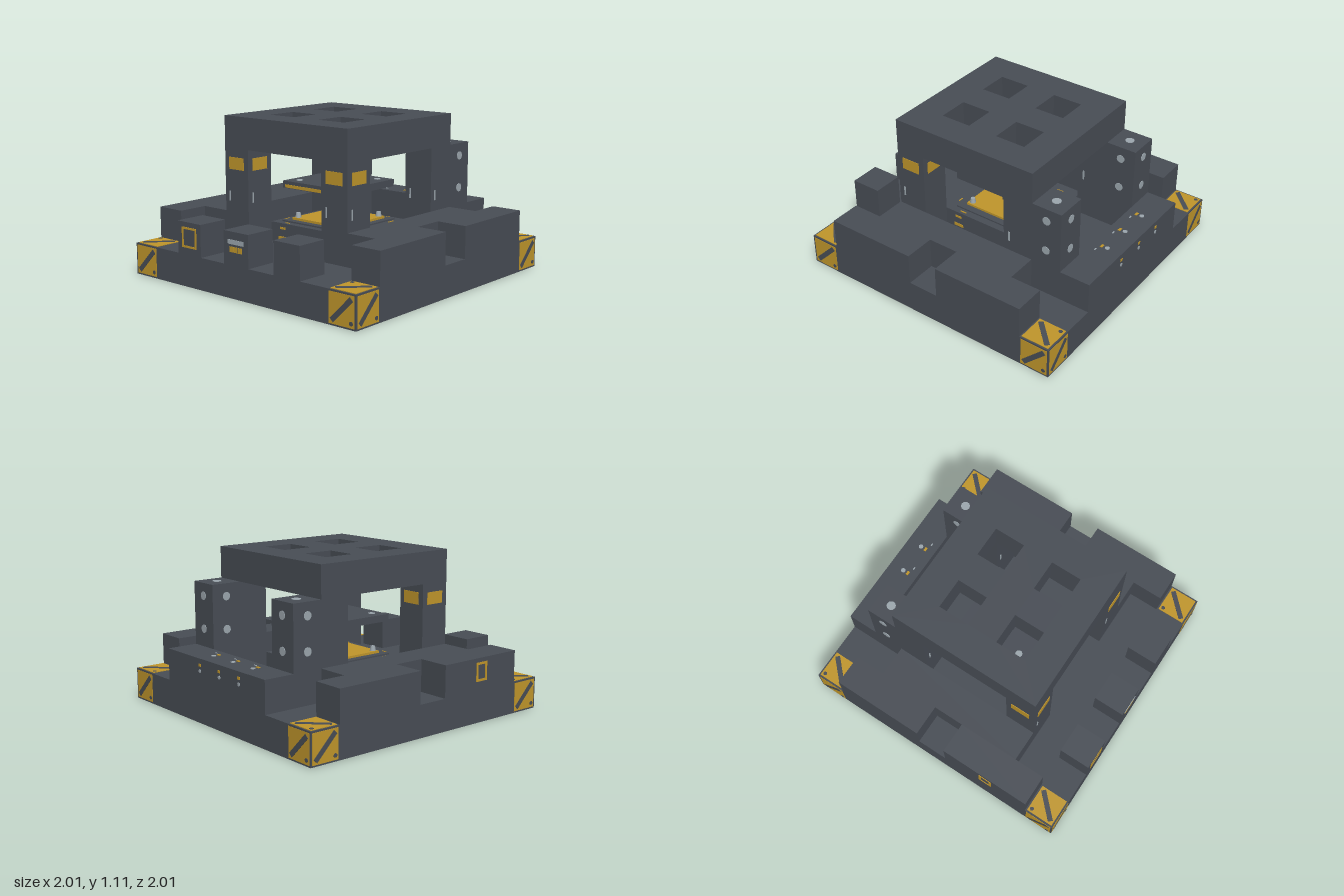
import * as THREE from 'three';

const dark = new THREE.MeshStandardMaterial({ color: 0x484d55 });
dark.name = 'dark steel';
const yellow = new THREE.MeshStandardMaterial({ color: 0xc0962b });
yellow.name = 'safety yellow';
const grey = new THREE.MeshStandardMaterial({ color: 0x9ca7ae });
grey.name = 'pale metal';

const U = 1 / 9; // layout module
const T = 0.004; // thickness of painted plates

export function createModel() {
  const model = new THREE.Group();
  model.name = 'machineBlock';

  const add = (name, geometry, material, parent = model) => {
    const mesh = new THREE.Mesh(geometry, material);
    mesh.name = name;
    parent.add(mesh);
    return mesh;
  };
  // Box given by its extents
  const box = (name, x0, x1, y0, y1, z0, z1, material = dark) => {
    const m = add(name, new THREE.BoxGeometry(x1 - x0, y1 - y0, z1 - z0), material);
    m.position.set((x0 + x1) / 2, (y0 + y1) / 2, (z0 + z1) / 2);
    return m;
  };

  // One group per facing direction; inside it, x is right, y is up, z is outward
  const face = (name, rx, ry) => {
    const g = new THREE.Group();
    g.name = name;
    g.rotation.set(rx, ry, 0);
    model.add(g);
    return g;
  };
  const front = face('frontMarkings', 0, 0);
  const plusX = face('leftMarkings', 0, Math.PI / 2);
  const back = face('backMarkings', 0, Math.PI);
  const minusX = face('rightMarkings', 0, -Math.PI / 2);
  const top = face('topMarkings', -Math.PI / 2, 0);
  const bottom = face('bottomMarkings', Math.PI / 2, 0);
  const sides = [front, plusX, back, minusX];

  const plate = (name, f, u, v, d, w, h, material, angle = 0, t = T) => {
    const m = add(name, new THREE.BoxGeometry(w, h, t), material, f);
    m.position.set(u, v, d + t / 2);
    m.rotation.z = angle;
    return m;
  };
  const disc = (name, f, u, v, d, r, material) => {
    const m = add(name, new THREE.CylinderGeometry(r, r, T, 10), material, f);
    m.rotation.x = Math.PI / 2;
    m.position.set(u, v, d + T / 2);
  };
  const ring = (name, f, u, v, d, w, h, b) => {
    for (const s of [-1, 1]) {
      plate(name, f, u + s * (w - b) / 2, v, d, b, h, yellow);
      plate(name, f, u, v + s * (h - b) / 2, d, w - 2 * b, b, yellow);
    }
  };

  // Base slab
  box('base', -1, 1, 0, 2 * U, -1, 1);

  // Hazard panels on the base corners
  const hazard = (f, u, v, d) => {
    plate('hazardPanel', f, u, v, d, 0.2, 0.2, yellow);
    plate('hazardStripe', f, u, v, d + T, 0.22, 0.035, dark, Math.PI / 4, 0.002);
  };
  for (const s of [-1, 1]) {
    for (const f of sides) {
      hazard(f, s * 8 * U, U, 1 - T / 2);
      disc('hazardDot', f, s * 8 * U + 0.075, 0.04, 1 + T / 4, 0.014, dark);
    }
    for (const t of [-1, 1]) {
      hazard(top, s * 8 * U, t * 8 * U, 2 * U);
      disc('hazardDot', top, s * 8 * U - 0.075, t * 8 * U + 0.075, 2 * U + 0.003, 0.014, dark);
      hazard(bottom, s * 8 * U, t * 8 * U, -T);
    }
  }

  // Stepped side blocks with a notch in the outer edge
  for (const s of [-1, 1]) {
    const sideBox = (name, a, b, z0, z1) =>
      box(name, Math.min(s * a, s * b), Math.max(s * a, s * b), 2 * U, 4 * U, z0, z1);
    sideBox('sideBlockInner', 5 * U, 7 * U, -5 * U, 5 * U);
    sideBox('sideBlockFront', 7 * U, 1, U, 7 * U);
    sideBox('sideBlockBack', 7 * U, 1, -7 * U, -U);
  }
  ring('sidePanelFrame', minusX, 0.45, 0.35, 1, 0.1, 0.13, 0.016);

  // Front control blocks
  for (const i of [-4, 0, 4]) {
    box('frontBlock', (i - 1) * U, (i + 1) * U, 2 * U, 4 * U, 7 * U, 1);
  }
  ring('frontPanelFrame', front, -4 * U, 0.34, 1, 0.14, 0.14, 0.014);
  plate('displayBar', front, 0, 0.377, 1, 0.14, 0.03, grey);
  for (const u of [-0.04, 0, 0.04]) plate('button', front, u, 0.328, 1, 0.033, 0.036, yellow);

  // Back wall with fasteners
  box('backWall', -5 * U, 5 * U, 2 * U, 4 * U, -1, -7 * U);
  for (const x of [-0.28, -0.06, 0.165]) {
    disc('wallBolt', top, x, 0.89, 4 * U, 0.017, grey);
    plate('wallTab', top, x, 0.85, 4 * U, 0.03, 0.018, yellow);
    plate('wallDash', top, x + 0.055, 0.832, 4 * U, 0.022, 0.008, grey);
    disc('wallBolt', back, -x, 0.36, 1, 0.013, grey);
    plate('wallTab', back, -x, 0.4, 1, 0.024, 0.018, yellow);
  }

  // Tower pillars and rear buttresses
  for (const sx of [-1, 1]) {
    const cx = sx * 4 * U;
    for (const sz of [-1, 1]) {
      const cz = sz * 4 * U;
      box('pillar', cx - U, cx + U, 2 * U, 8 * U, cz - U, cz + U);
      // centre of the pillar in the frame of each side: [across, outward]
      const local = [[cx, cz], [-cz, cx], [-cx, -cz], [cz, -cx]];
      sides.forEach((f, i) => {
        const [u, d] = local[i];
        if (sz > 0) plate('pillarSign', f, u, 0.785, d + U, 0.14, 0.085, yellow);
        if (i < 2) plate('pillarStrip', f, u - 0.067, 0.555, d + U, 0.012, 0.07, grey);
      });
    }
    const bz = -6 * U;
    box('buttress', cx - U, cx + U, 2 * U, 8 * U, bz - U, bz + U);
    disc('buttressBolt', top, cx, -bz, 8 * U, 0.032, grey);
    for (const y of [0.57, 0.8]) {
      disc('buttressBolt', back, -cx, y, -bz + U, 0.03, grey);
      disc('buttressBolt', plusX, -bz, y, cx + U, 0.03, grey);
      disc('buttressBolt', minusX, bz, y, -cx + U, 0.03, grey);
    }
  }

  // Roof slab with four square openings
  const square = (Type, x, y, h) => new Type([[-h, -h], [h, -h], [h, h], [-h, h]]
    .map(([a, b]) => new THREE.Vector2(x + a, y + b)));
  const roofShape = square(THREE.Shape, 0, 0, 5 * U);
  for (const x of [-2 * U, 2 * U]) {
    for (const y of [-2 * U, 2 * U]) roofShape.holes.push(square(THREE.Path, x, y, U));
  }
  const roof = add('roof', new THREE.ExtrudeGeometry(roofShape, { depth: 2 * U, bevelEnabled: false }), dark);
  roof.rotation.x = -Math.PI / 2;
  roof.position.y = 8 * U;

  // Inner pedestal and work bed
  box('pedestal', -3 * U, 3 * U, 2 * U, 0.36, -3 * U, 3 * U);
  box('bedTier', -0.28, 0.28, 0.36, 0.37, -0.28, 0.28);
  box('workBed', -0.23, 0.23, 0.37, 0.386, -0.23, 0.23, yellow);
  for (const f of sides) {
    for (const u of [-0.225, 0.225]) {
      plate('pedestalTab', f, u, 0.325, 3 * U, 0.05, 0.015, yellow);
      plate('pedestalTab', f, u, 0.255, 3 * U, 0.075, 0.022, yellow);
    }
  }
  for (const x of [-0.2, 0.2]) {
    for (const z of [-0.2, 0.2]) {
      const bolt = add('bedBolt', new THREE.CylinderGeometry(0.016, 0.022, 0.034, 10), grey);
      bolt.position.set(x, 0.403, z);
      plate('bedMark', top, x * 1.55, z, 0.36, 0.008, 0.05, yellow);
      plate('bedMark', top, x, z * 1.55, 0.36, 0.04, 0.008, yellow);
    }
  }

  // Central column with collars and pale insets
  box('column', -0.052, 0.052, 0.386, 8 * U, -0.052, 0.052);
  for (const [y0, y1] of [[0.44, 0.475], [0.655, 0.695], [0.865, 8 * U]]) {
    box('columnCollar', -0.068, 0.068, y0, y1, -0.068, 0.068);
    for (const f of sides) disc('collarBolt', f, 0, (y0 + y1) / 2, 0.068, 0.018, grey);
  }
  for (const f of sides) {
    plate('columnInset', f, 0, 0.77, 0.052, 0.042, 0.1, grey);
    plate('columnInset', f, 0, 0.55, 0.052, 0.042, 0.09, grey);
  }

  // Moving platform on the column
  box('platform', -0.275, 0.275, 0.6, 0.65, -0.275, 0.275);
  plate('platformEdge', front, 0, 0.615, 0.275, 0.5, 0.022, yellow);
  for (const x of [-0.19, 0.19]) {
    for (const z of [-0.195, 0.195]) disc('platformBolt', top, x, z, 0.65, 0.025, grey);
  }

  return model;
}
